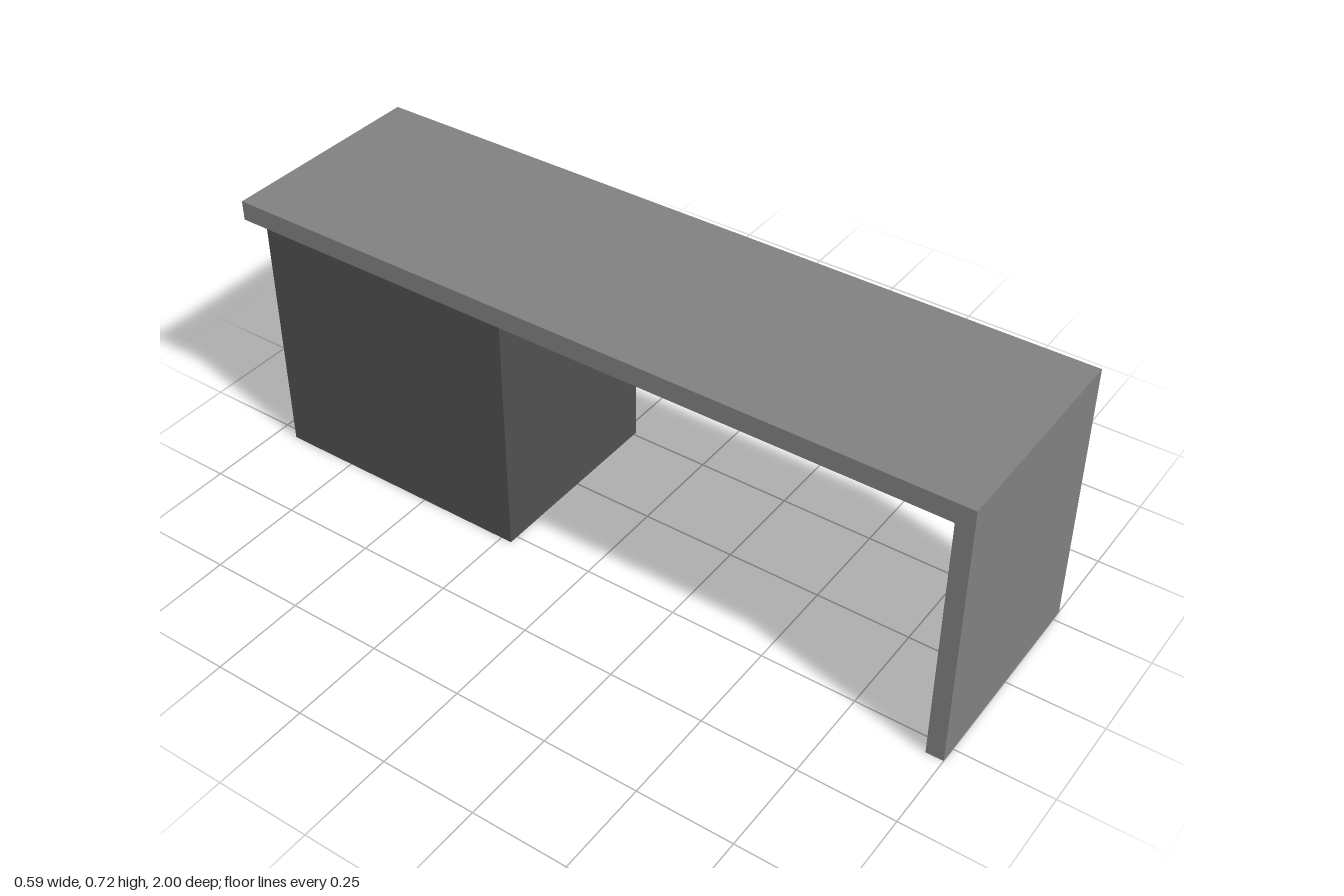
import * as THREE from 'three';

const deskMaterial = new THREE.MeshStandardMaterial({ color: 0x808080, flatShading: true });
const cabinetMaterial = new THREE.MeshStandardMaterial({ color: 0x505050, flatShading: true });

// Box given by its minimum and maximum corners.
function box(name, min, max, material) {
  const size = max.map((v, i) => v - min[i]);
  const mesh = new THREE.Mesh(new THREE.BoxGeometry(...size), material);
  mesh.position.set(...max.map((v, i) => (v + min[i]) / 2));
  mesh.name = name;
  return mesh;
}

// Drawer front: a thin box whose outer (+x) face is drawn in, giving chamfered edges.
function drawerFront(name, y0, y1) {
  const chamfer = 0.01;
  const mesh = box(name, [0.26, y0, -0.945], [0.273, y1, -0.22], cabinetMaterial);
  const p = mesh.geometry.attributes.position;
  for (let i = 0; i < p.count; i++) {
    if (p.getX(i) > 0) {
      p.setY(i, p.getY(i) - Math.sign(p.getY(i)) * chamfer);
      p.setZ(i, p.getZ(i) - Math.sign(p.getZ(i)) * chamfer);
    }
  }
  mesh.geometry.computeVertexNormals();
  return mesh;
}

export function createModel() {
  const desk = new THREE.Group();
  desk.name = 'desk';

  // Worktop and the slab leg flush with its end
  desk.add(
    box('worktop', [-0.293, 0.668, -1], [0.281, 0.72, 1], deskMaterial),
    box('panelLeg', [-0.293, 0, 0.955], [0.281, 0.668, 1], deskMaterial)
  );

  // Drawer cabinet, set in slightly from the worktop edges
  const cabinet = new THREE.Group();
  cabinet.name = 'drawerCabinet';
  cabinet.add(box('carcass', [-0.275, 0, -0.945], [0.26, 0.668, -0.22], cabinetMaterial));
  const seams = [0, 0.338, 0.56, 0.668];
  ['bottomDrawer', 'middleDrawer', 'topDrawer'].forEach((name, i) => {
    cabinet.add(drawerFront(name, seams[i], seams[i + 1]));
  });

  // Round lock on the top drawer
  const lockMaterial = new THREE.MeshStandardMaterial({ color: 0x505050 });
  const lock = new THREE.Mesh(new THREE.CylinderGeometry(0.021, 0.021, 0.031, 32), lockMaterial);
  lock.name = 'lock';
  lock.rotation.z = -Math.PI / 2;
  lock.position.set(0.2775, 0.612, -0.888);
  cabinet.add(lock);

  desk.add(cabinet);
  return desk;
}
